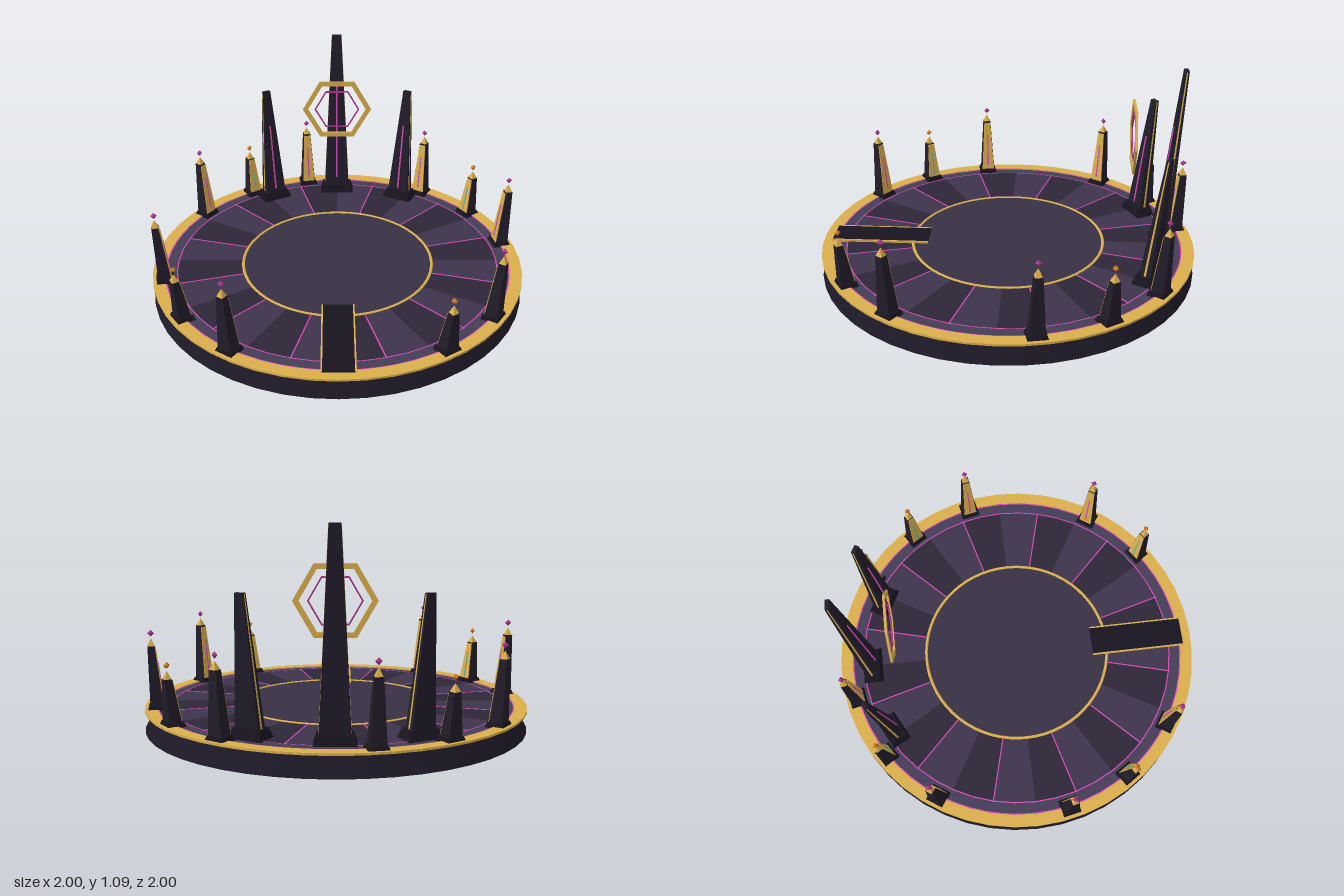
import * as THREE from 'three';

const mat = (color, extra = {}) => new THREE.MeshStandardMaterial({ color, flatShading: true, ...extra });
const M = {
  wall: mat(0x1c1826), floor: mat(0x453b57), light: mat(0x3d344c), dark: mat(0x2c2638),
  centre: mat(0x373044), stone: mat(0x211c2a), plinth: mat(0x18141f),
  gold: mat(0xd9ae4c), magenta: mat(0xd84ab8), gem: mat(0xa8358c),
  orange: mat(0xd07a1c), teal: mat(0x58b8a4),
};

function add(parent, name, geometry, material, x = 0, y = 0, z = 0) {
  const mesh = new THREE.Mesh(geometry, material);
  mesh.name = name;
  mesh.position.set(x, y, z);
  parent.add(mesh);
  return mesh;
}

// Box standing on y = 0 that narrows towards its top and leans towards -z
function taper(w0, d0, w1, d1, h, lean = 0) {
  const g = new THREE.BoxGeometry(1, h, 1).translate(0, h / 2, 0);
  const p = g.attributes.position;
  for (let i = 0; i < p.count; i++) {
    const t = p.getY(i) / h;
    p.setX(i, p.getX(i) * (w0 + (w1 - w0) * t));
    p.setZ(i, p.getZ(i) * (d0 + (d1 - d0) * t) - lean * t);
  }
  g.computeVertexNormals();
  return g;
}

// Flat ring or sector lying in the ground plane, facing up
const flatRing = (r0, r1, seg, start = 0, len = Math.PI * 2) =>
  new THREE.RingGeometry(r0, r1, seg, 1, start, len).rotateX(-Math.PI / 2);

// Group on the rim whose +z looks at the centre
function rimGroup(parent, name, angle, r) {
  const g = new THREE.Group();
  g.name = name;
  g.position.set(Math.cos(angle) * r, 0.108, Math.sin(angle) * r);
  g.rotation.y = Math.atan2(-Math.cos(angle), -Math.sin(angle));
  parent.add(g);
  return g;
}

// Thin plate on the leaning front face of a shaft, from height fraction a to b
function facePlate(s, a, b, w0, w1, thick, out) {
  const at = (t) => (s.d0 + (s.d1 - s.d0) * t) / 2 - s.lean * t + out;
  const g = taper(w0, thick, w1, thick, s.h * (b - a), at(a) - at(b));
  return g.translate(0, s.h * a, at(a));
}

function obelisk(parent, angle, short) {
  const g = rimGroup(parent, 'obelisk', angle, 0.935);
  const k = short ? 0.7 : 1;
  const s = { d0: 0.07, d1: 0.036, h: 0.33 * k, lean: 0.025 };
  add(g, 'obeliskPlinth', taper(0.105, 0.095, 0.085, 0.08, 0.025), M.plinth);
  add(g, 'obeliskShaft', taper(0.08, s.d0, 0.04, s.d1, s.h, s.lean), M.stone);
  add(g, 'obeliskGoldFace', facePlate(s, 0.06, 0.97, 0.074, 0.037, 0.006, 0.001), M.gold);
  add(g, 'obeliskGlowStrip', facePlate(s, 0.15, 0.75, 0.008, 0.006, 0.006, 0.004), short ? M.teal : M.magenta);
  // gold pyramid cap
  add(g, 'obeliskCap', new THREE.ConeGeometry(0.025, 0.04, 4).rotateY(Math.PI / 4),
    M.gold, 0, s.h + 0.02, -s.lean);
  add(g, 'obeliskGem', new THREE.OctahedronGeometry(0.017), short ? M.orange : M.gem, 0, s.h + 0.066, -s.lean);
}

function spire(parent, angle, r, h, w0, w1, lean) {
  const g = rimGroup(parent, 'spire', angle, r);
  const s = { d0: 0.065, d1: 0.022, h, lean };
  add(g, 'spirePlinth', taper(w0 + 0.05, 0.11, w0 + 0.015, 0.08, 0.05), M.plinth);
  add(g, 'spireShaft', taper(w0, s.d0, w1, s.d1, h, lean), M.stone);
  add(g, 'spireSideTrim', taper(w0 + 0.003, 0.012, w1 + 0.003, 0.006, h - 0.005, lean), M.gold);
  add(g, 'spireGlowStrip', facePlate(s, 0.1, 0.69, 0.009, 0.007, 0.006, 0.002), M.magenta);
}

// Hexagonal frame with pointed left and right ends
function hexFrame(outer, inner, depth) {
  const hex = (Type, r) => {
    const pts = [];
    for (let i = 0; i < 6; i++) {
      pts.push(new THREE.Vector2(Math.cos(i * Math.PI / 3) * r, Math.sin(i * Math.PI / 3) * r));
    }
    return new Type(pts);
  };
  const shape = hex(THREE.Shape, outer);
  shape.holes.push(hex(THREE.Path, inner));
  return new THREE.ExtrudeGeometry(shape, { depth, bevelEnabled: false }).translate(0, 0, -depth / 2);
}

export function createModel() {
  const root = new THREE.Group();
  root.name = 'arena';

  // Platform and gold rim
  add(root, 'platform', new THREE.CylinderGeometry(0.945, 1, 0.108, 48), [M.wall, M.floor, M.wall], 0, 0.054, 0);
  const rim = [[0.935, 0.104], [1, 0.104], [1, 0.115], [0.935, 0.115], [0.935, 0.104]];
  add(root, 'goldRim', new THREE.LatheGeometry(rim.map(([x, y]) => new THREE.Vector2(x, y)), 48), M.gold);

  // Floor panels and inlays
  const step = Math.PI / 12;
  for (let i = 0; i < 24; i++) {
    add(root, 'floorPanel', flatRing(0.5, 0.87, 3, i * step, step), i % 2 ? M.light : M.dark, 0, 0.111, 0);
  }
  for (let i = 0; i < 12; i++) {
    const line = add(root, 'floorGlowLine', new THREE.BoxGeometry(0.35, 0.003, 0.006).translate(0.7, 0, 0),
      M.magenta, 0, 0.112, 0);
    line.rotation.y = step * (2 * i + 1);
  }
  add(root, 'outerGlowRing', flatRing(0.928, 0.937, 64), M.magenta, 0, 0.1135, 0);
  add(root, 'innerGlowRing', flatRing(0.867, 0.873, 48), M.magenta, 0, 0.1125, 0);
  add(root, 'centreFloor', new THREE.CircleGeometry(0.515, 48).rotateX(-Math.PI / 2), M.centre, 0, 0.1125, 0);
  add(root, 'centreGoldRing', new THREE.TorusGeometry(0.515, 0.008, 6, 64).rotateX(Math.PI / 2).scale(1, 0.6, 1),
    M.gold, 0, 0.113, 0);

  // Entrance walkway with gold edges
  add(root, 'walkway', new THREE.BoxGeometry(0.16, 0.016, 0.52), M.plinth, 0, 0.114, 0.69);
  for (const side of [-1, 1]) {
    add(root, 'walkwayEdge', new THREE.BoxGeometry(0.008, 0.018, 0.52), M.gold, side * 0.08, 0.114, 0.69);
  }

  // Rim obelisks, with gaps at the entrance, the sides and the back
  for (let k = 0; k < 16; k++) {
    if ([0, 3, 4, 8, 12].includes(k)) continue;
    obelisk(root, (k + 0.5) * Math.PI / 8, k % 4 === 2);
  }

  // Three tall spires at the back
  spire(root, -Math.PI / 2, 0.82, 0.982, 0.15, 0.055, 0.073);
  for (const side of [-1, 1]) {
    spire(root, -Math.PI / 2 + side * 0.486, 0.825, 0.672, 0.13, 0.045, 0.07);
  }

  // Floating hexagonal emblem
  const emblem = new THREE.Group();
  emblem.name = 'floatingEmblem';
  emblem.position.set(0, 0.727, -0.65);
  root.add(emblem);
  add(emblem, 'outerHexagon', hexFrame(0.197, 0.168, 0.012), M.gold);
  add(emblem, 'innerHexagon', hexFrame(0.129, 0.121, 0.008), M.gem);
  return root;
}
